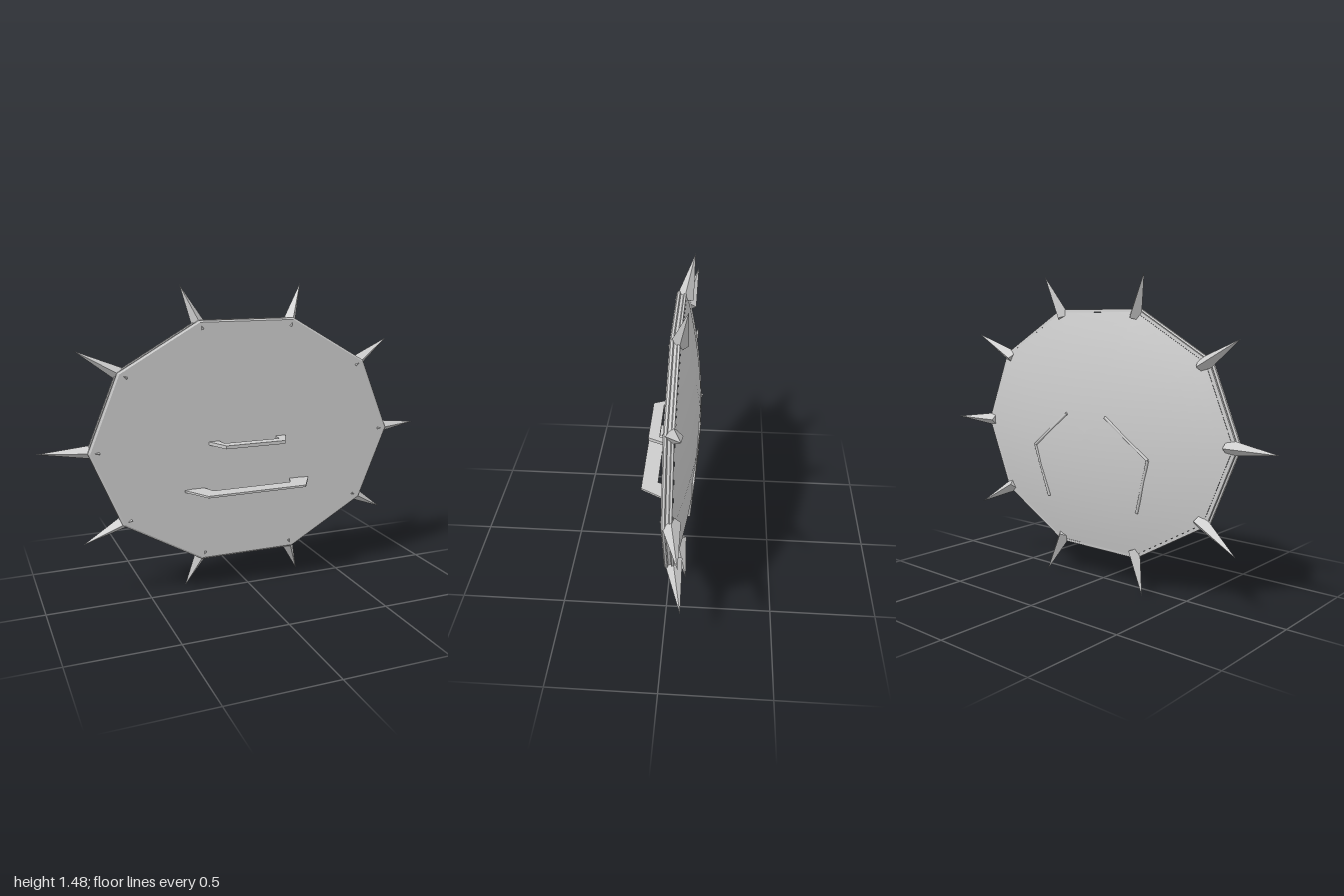
import * as THREE from 'three';
import { ConvexGeometry } from 'three/addons/geometries/ConvexGeometry.js';

const A = 0.77, B = 0.608, CY = 0.746, SIDES = 10;
const domeDepth = (t) => 0.045 + 0.088 * (1 - t * t);

export function createModel() {
  const group = new THREE.Group();
  const steel = new THREE.MeshStandardMaterial({ color: 0xcccccc });
  steel.name = 'steel grey';

  const add = (name, geometry) => {
    const mesh = new THREE.Mesh(geometry, steel);
    mesh.name = name;
    mesh.position.y = CY;
    group.add(mesh);
    return mesh;
  };

  // Ten-sided ring surface; profile is [radius, depth behind the front face]
  const ring = (profile) => {
    const g = new THREE.LatheGeometry(profile.map(([r, d]) => new THREE.Vector2(r, d)), SIDES, Math.PI / 2);
    g.rotateX(-Math.PI / 2);
    g.scale(1, B / A, 1);
    return g;
  };

  // Flat front plate and grooved rim, faceted
  const plate = ring([
    [0, 0], [0.762, 0], [0.773, 0.006], [0.773, 0.016], [0.763, 0.02],
    [0.763, 0.032], [0.773, 0.036], [0.773, 0.046], [0.755, 0.048],
  ]).toNonIndexed();
  plate.computeVertexNormals();
  add('plateAndRim', plate);

  // Smooth domed back
  const dome = [];
  for (let i = 0; i <= 10; i++) {
    const t = 0.98 * (1 - i / 10);
    dome.push([A * t, domeDepth(t)]);
  }
  add('domedBack', ring(dome));

  // Four-sided spikes at the corners, leaning backwards
  for (let i = 0; i < SIDES; i++) {
    const a = (i / SIDES) * Math.PI * 2, c = Math.cos(a), s = Math.sin(a);
    const base = new THREE.Vector3(A * c * 0.935, B * s * 0.935, -0.036);
    const tip = new THREE.Vector3(0.99 * c, 0.778 * s, -0.083);
    const side = new THREE.Vector3(base.y - tip.y, tip.x - base.x, 0).setLength(0.036);
    const depth = new THREE.Vector3(0, 0, 0.044);
    add('spike', new ConvexGeometry([
      tip,
      base.clone().add(side), base.clone().sub(side),
      base.clone().add(depth), base.clone().sub(depth),
    ]));
  }

  // Flat bracket handles; half outline in x and z, mirrored
  const handle = (name, y, thickness, half) => {
    const mirrored = half.map(([x, z]) => [-x, z]).reverse();
    const shape = new THREE.Shape([...half, ...mirrored].map(([x, z]) => new THREE.Vector2(x, z)));
    const g = new THREE.ExtrudeGeometry(shape, { depth: thickness, bevelEnabled: false });
    g.translate(0, 0, -thickness / 2);
    g.rotateX(Math.PI / 2);
    add(name, g).position.y = y;
  };
  handle('upperHandle', CY, 0.016, [[0.14, 0.055], [0.15, -0.012], [0.205, -0.012], [0.15, 0.108]].reverse());
  handle('lowerHandle', 0.524, 0.01, [[0.2, 0.06], [0.23, -0.012], [0.325, 0.008], [0.25, 0.137]].reverse());

  // Thin bent rods laid on the domed back
  const onDome = (x, y) => new THREE.Vector3(x, y, -domeDepth(Math.hypot(x / A, y / B)) - 0.001);
  for (const m of [1, -1]) {
    const pts = [onDome(m * 0.12, 0.087), onDome(m * 0.355, -0.09), onDome(m * 0.28, -0.347)];
    for (let i = 0; i < 2; i++) {
      const dir = pts[i + 1].clone().sub(pts[i]);
      const rod = add('backRod', new THREE.CylinderGeometry(0.007, 0.007, dir.length(), 8));
      rod.position.add(pts[i].clone().addScaledVector(dir, 0.5));
      rod.quaternion.setFromUnitVectors(new THREE.Vector3(0, 1, 0), dir.normalize());
    }
  }
  return group;
}
